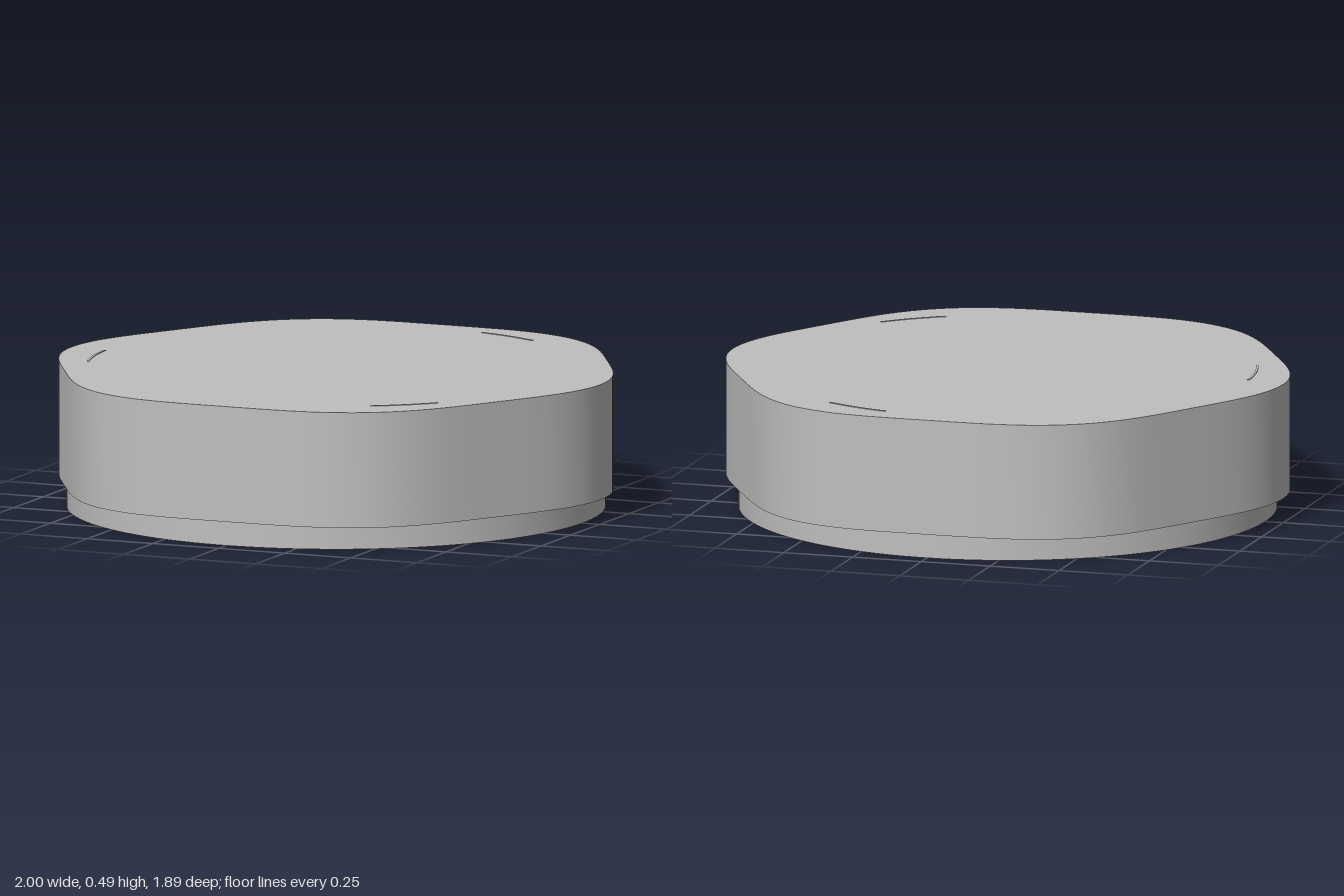
import * as THREE from 'three';
import { toCreasedNormals } from 'three/addons/utils/BufferGeometryUtils.js';

const HEIGHT = 0.49, CEILING = 0.445;

export function createModel() {
  const group = new THREE.Group();
  const grey = new THREE.MeshStandardMaterial({ color: 0xbfbfbf });
  grey.name = 'plain grey';

  const add = (name, geometry) => {
    const mesh = new THREE.Mesh(geometry, grey);
    mesh.name = name;
    group.add(mesh);
    return mesh;
  };

  // Hollow cap: round stepped bore, round lower collar, six-lobed grip
  const grip = 0.973;
  const profile = [
    [0, CEILING], [0.815, CEILING], [0.815, 0.235], [0.847, 0.235],
    [0.847, 0], [0.935, 0], [0.935, 0.085], [grip, 0.085], [grip, HEIGHT], [0, HEIGHT],
  ].map(([r, y]) => new THREE.Vector2(r, y));
  const cap = new THREE.LatheGeometry(profile, 144);
  const pos = cap.attributes.position;
  for (let i = 0; i < pos.count; i++) {
    const x = pos.getX(i), z = pos.getZ(i);
    if (Math.hypot(x, z) < 0.96) continue;
    const lobe = 1 + 0.0277 * Math.cos(6 * Math.atan2(z, x));
    pos.setX(i, x * lobe);
    pos.setZ(i, z * lobe);
  }
  add('cap', toCreasedNormals(cap, 0.6));

  // Rectangular socket hanging from the ceiling of the bore
  const rect = (Type, w, d) => new Type([
    new THREE.Vector2(-w, -d), new THREE.Vector2(w, -d),
    new THREE.Vector2(w, d), new THREE.Vector2(-w, d),
  ]);
  const socket = rect(THREE.Shape, 0.083, 0.13);
  socket.holes.push(rect(THREE.Path, 0.053, 0.1));
  const socketGeo = new THREE.ExtrudeGeometry(socket, { depth: CEILING - 0.24, bevelEnabled: false });
  socketGeo.rotateX(-Math.PI / 2).translate(0, 0.24, 0);
  add('socket', socketGeo);

  // Three very thin curved marks on the top face
  for (let i = 0; i < 3; i++) {
    const mid = THREE.MathUtils.degToRad(-50 + i * 120);
    const arc = new THREE.Shape();
    arc.absarc(0, 0, 0.868, mid - 0.14, mid + 0.14, false);
    arc.absarc(0, 0, 0.86, mid + 0.14, mid - 0.14, true);
    const mark = new THREE.ExtrudeGeometry(arc, { depth: 0.002, bevelEnabled: false, curveSegments: 12 });
    mark.rotateX(-Math.PI / 2).translate(0, HEIGHT, 0);
    add('topMark', mark);
  }

  return group;
}
